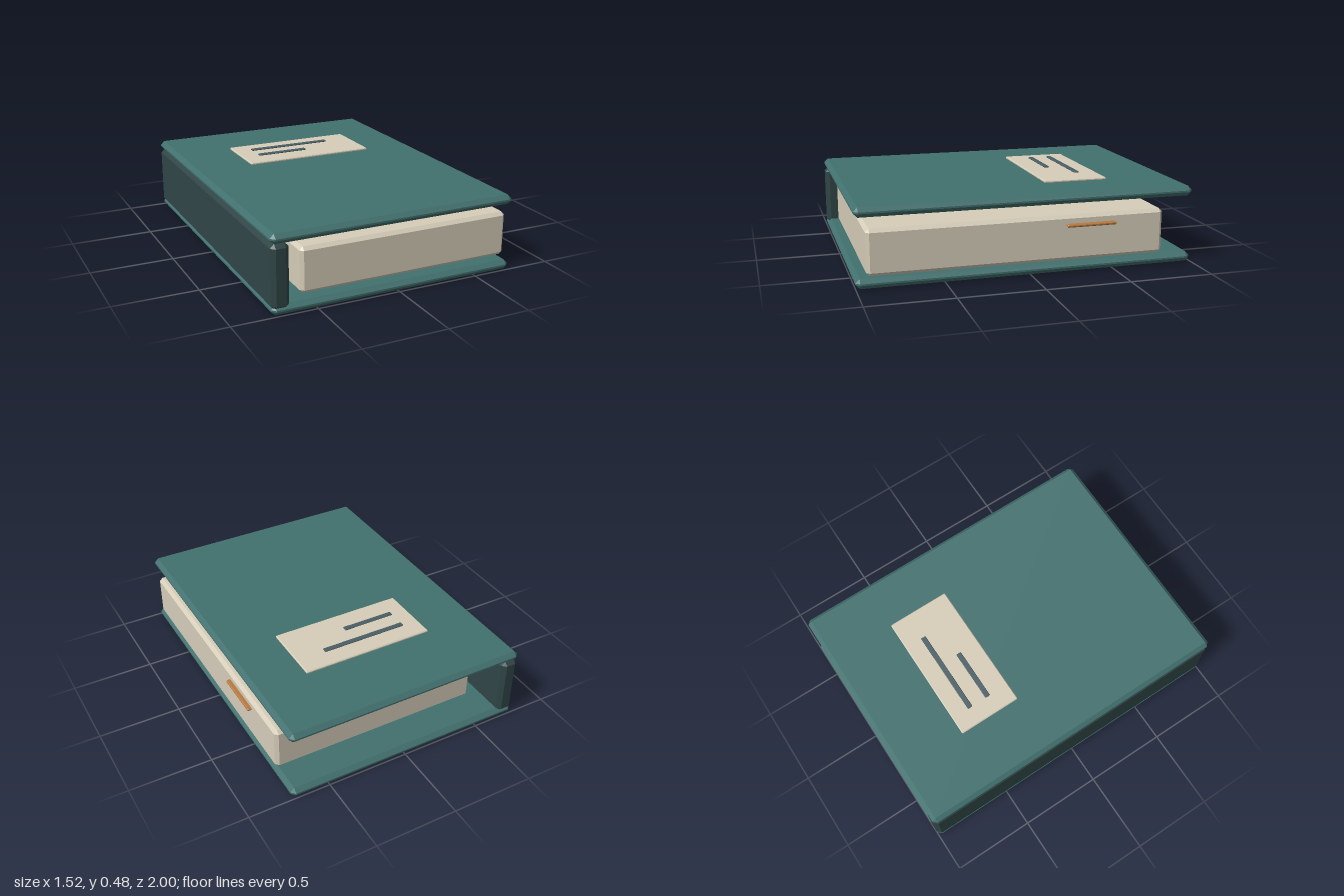
import * as THREE from 'three';
import { ConvexGeometry } from 'three/addons/geometries/ConvexGeometry.js';

const material = (name, color) => {
  const m = new THREE.MeshStandardMaterial({ color });
  m.name = name;
  return m;
};

// Box between two corners with every edge cut off at 45 degrees
function chamferedBox([x0, y0, z0], [x1, y1, z1], c) {
  const half = new THREE.Vector3(x1 - x0, y1 - y0, z1 - z0).multiplyScalar(0.5);
  const points = [];
  for (const sx of [-1, 1]) for (const sy of [-1, 1]) for (const sz of [-1, 1]) {
    for (const axis of ['x', 'y', 'z']) {
      const p = half.clone().subScalar(c);
      p[axis] += c;
      points.push(p.multiply(new THREE.Vector3(sx, sy, sz)));
    }
  }
  return new ConvexGeometry(points).translate((x0 + x1) / 2, (y0 + y1) / 2, (z0 + z1) / 2);
}

export function createModel() {
  const teal = material('teal cover', 0x41706e);
  const dark = material('dark spine', 0x304546);
  const cream = material('cream paper', 0xd6cdb9);
  const slate = material('slate ink', 0x4a5f66);
  const copper = material('copper clasp', 0xb87a40);

  const book = new THREE.Group();
  book.name = 'book';
  const add = (name, mat, min, max, chamfer) => {
    const mesh = new THREE.Mesh(chamferedBox(min, max, chamfer), mat);
    mesh.name = name;
    book.add(mesh);
  };

  // Covers and spine
  add('bottomCover', teal, [-0.765, 0, -1], [0.735, 0.058, 1], 0.024);
  add('topCover', teal, [-0.765, 0.402, -1], [0.735, 0.46, 1], 0.024);
  add('spine', dark, [-0.765, 0.03, -1], [-0.66, 0.405, 1], 0.024);

  // Page block
  add('pages', cream, [-0.575, 0.07, -0.81], [0.735, 0.338, 0.94], 0.02);

  // Title plate and its two ruled lines
  add('label', cream, [-0.407, 0.458, -0.578], [0.415, 0.474, -0.185], 0.005);
  add('longLine', slate, [-0.3, 0.473, -0.47], [0.235, 0.482, -0.438], 0.003);
  add('shortLine', slate, [-0.3, 0.473, -0.345], [0.028, 0.482, -0.313], 0.003);

  // Clasp on the page edge
  add('clasp', copper, [0.725, 0.27, -0.508], [0.76, 0.288, -0.208], 0.006);

  return book;
}
